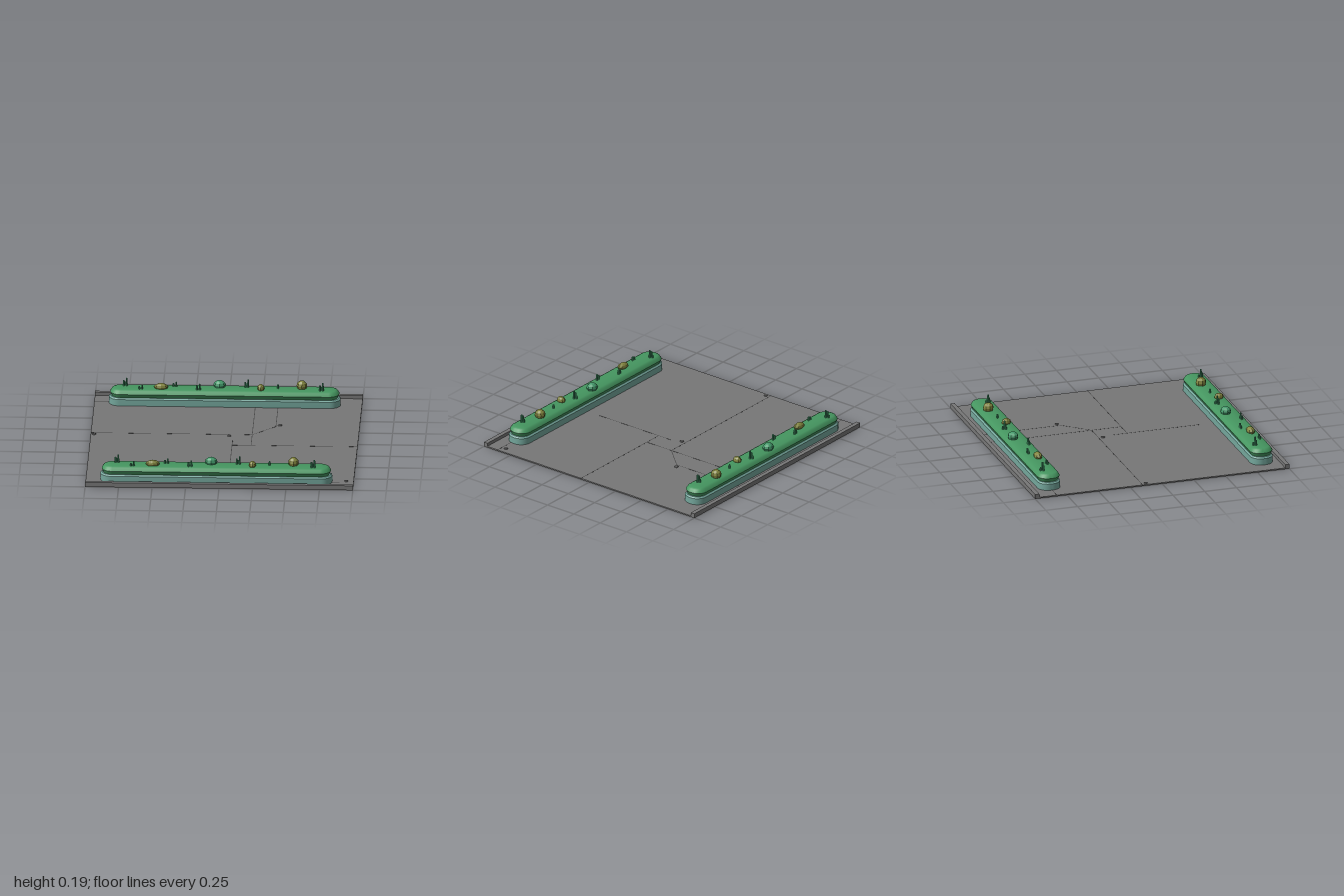
import * as THREE from 'three';
import { toCreasedNormals } from 'three/addons/utils/BufferGeometryUtils.js';

const mat = (name, color, flatShading = false) => {
  const m = new THREE.MeshStandardMaterial({ color, flatShading });
  m.name = name;
  return m;
};

// Stack of rounded-rectangle rings; levels are [height, inset], closed at both ends
function loft(hx, hz, radius, levels, crease) {
  const pos = [], idx = [], per = 7, n = per * 4;
  for (const [y, inset] of levels) {
    const r = Math.max(radius - inset, 0.003);
    const cx = hx - inset - r, cz = hz - inset - r;
    for (let q = 0; q < 4; q++) {
      const sx = q === 0 || q === 3 ? 1 : -1, sz = q < 2 ? 1 : -1;
      for (let i = 0; i < per; i++) {
        const a = (q + i / (per - 1)) * Math.PI / 2;
        pos.push(sx * cx + r * Math.cos(a), y, sz * cz + r * Math.sin(a));
      }
    }
  }
  for (let l = 0; l < levels.length - 1; l++) {
    for (let i = 0; i < n; i++) {
      const a = l * n + i, b = l * n + (i + 1) % n;
      idx.push(a, a + n, b, b, a + n, b + n);
    }
  }
  const top = (levels.length - 1) * n;
  for (let i = 1; i < n - 1; i++) {
    idx.push(0, i, i + 1);
    idx.push(top, top + i + 1, top + i);
  }
  const g = new THREE.BufferGeometry();
  g.setAttribute('position', new THREE.Float32BufferAttribute(pos, 3));
  g.setIndex(idx);
  return toCreasedNormals(g, crease);
}

export function createModel() {
  const group = new THREE.Group();
  group.name = 'plantedStreetTile';
  const pavement = mat('pavement grey', 0x777777);
  const seamDark = mat('seam dark grey', 0x444444);
  const stone = mat('planter teal', 0x74a79c);
  const hedgeGreen = mat('hedge green', 0x459660);
  const leafGreen = mat('leaf green', 0x459a6c, true);
  const olive = mat('bush olive', 0x82853f, true);

  const add = (parent, name, geo, material, x = 0, y = 0, z = 0) => {
    const m = new THREE.Mesh(geo, material);
    m.name = name;
    m.position.set(x, y, z);
    parent.add(m);
    return m;
  };

  // Floor slab and kerbs along the front and back
  add(group, 'floor', new THREE.BoxGeometry(2, 0.01, 2), pavement, 0, 0.0055, 0);
  for (const s of [-1, 1]) {
    add(group, 'kerb', new THREE.BoxGeometry(2, 0.035, 0.033), pavement, 0, 0.0185, s * 0.9835);
  }

  // Seams between the floor plates: x1, z1, x2, z2
  const seams = [
    [-1, -0.155, 0.205, -0.155], [0.205, -0.967, 0.205, 0.075], [0.375, -0.967, 0.375, -0.34],
    [0.375, -0.34, 0.205, -0.155], [0.063, 0.077, 1, 0.077], [0.063, -0.035, 0.063, 0.64],
    [0.063, 0.9, 0.063, 0.967], [-1, -0.83, -0.88, -0.83], [0.83, 0.87, 1, 0.87],
  ];
  for (const [x1, z1, x2, z2] of seams) {
    const len = Math.hypot(x2 - x1, z2 - z1);
    const m = add(group, 'floorSeam', new THREE.BoxGeometry(len, 0.011, 0.005), seamDark,
      (x1 + x2) / 2, 0.0055, (z1 + z2) / 2);
    m.rotation.y = -Math.atan2(z2 - z1, x2 - x1);
  }

  // Small studs on the floor
  const stud = new THREE.CylinderGeometry(0.013, 0.015, 0.008, 10);
  for (const [x, z] of [[-0.975, -0.122], [0.035, -0.122], [0.405, -0.362], [0.945, 0.832]]) {
    add(group, 'floorStud', stud, pavement, x, 0.0135, z);
  }

  // Planter box with a bevelled hedge on top
  const boxGeo = loft(0.865, 0.0875, 0.08, [[0.002, 0], [0.06, 0], [0.07, 0.012]], 0.5);
  const hedgeGeo = loft(0.856, 0.0875, 0.08,
    [[0.07, 0.014], [0.1, 0], [0.122, 0.014], [0.13, 0.03], [0.131, 0.083]], 0.95);
  const ball = new THREE.SphereGeometry(1, 8, 6);
  // Bushes: x, z, radii, centre height, material
  const bushes = [
    [-0.5, 0.02, 0.053, 0.027, 0.031, 0.143, olive],
    [-0.065, -0.03, 0.047, 0.034, 0.04, 0.147, leafGreen],
    [0.245, 0.02, 0.027, 0.028, 0.036, 0.143, olive],
    [0.55, -0.02, 0.04, 0.039, 0.041, 0.152, olive],
  ];
  // Sprigs: x, z, top height, number of stems
  const sprigs = [
    [-0.77, -0.035, 0.19, 3], [-0.652, 0.035, 0.16, 2], [-0.4, -0.03, 0.165, 2],
    [-0.222, 0.035, 0.175, 2], [0.137, -0.03, 0.19, 3], [0.372, -0.008, 0.16, 1],
    [0.697, 0.027, 0.19, 3],
  ];
  for (const z of [0.84, -0.833]) {
    const planter = new THREE.Group();
    planter.name = 'planter';
    planter.position.set(-0.025, 0, z);
    group.add(planter);
    add(planter, 'planterBox', boxGeo, stone);
    add(planter, 'hedge', hedgeGeo, hedgeGreen);
    for (const [x, bz, rx, ry, rz, y, m] of bushes) {
      add(planter, 'bush', ball, m, x + 0.025, y, bz).scale.set(rx, ry, rz);
    }
    for (const [x, sz, topY, count] of sprigs) {
      for (let i = 0; i < count; i++) {
        const a = i * 2.2 + 0.4, off = count > 1 ? 0.012 : 0;
        const h = (topY - 0.125) * (1 - i * 0.28);
        add(planter, 'sprig', new THREE.CylinderGeometry(0.007, 0.009, h, 6), leafGreen,
          x + 0.025 + off * Math.cos(a), 0.125 + h / 2, sz + off * Math.sin(a));
      }
    }
  }
  return group;
}
